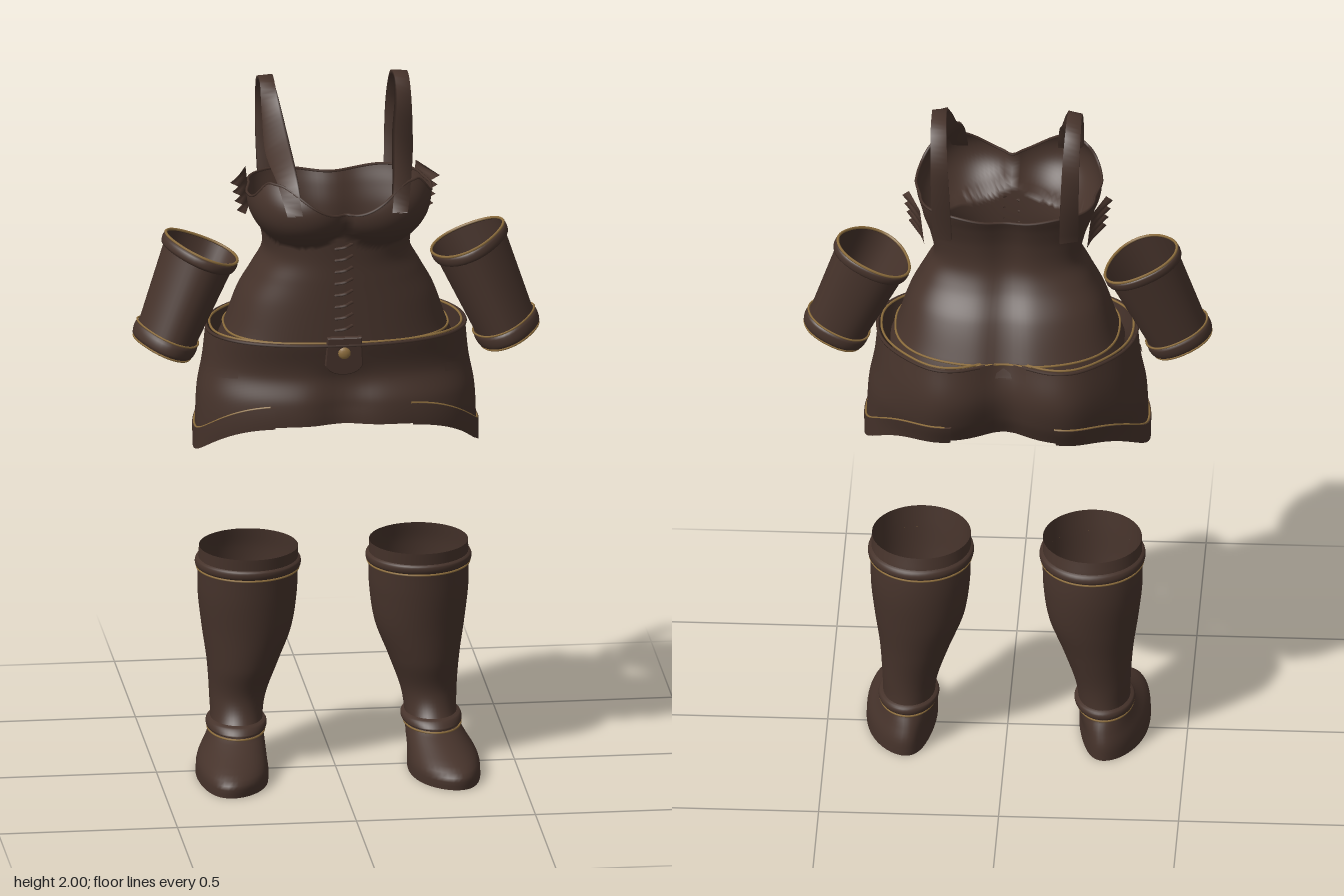
import * as THREE from 'three';

const material = (name, color) => {
  const m = new THREE.MeshStandardMaterial({ color, side: THREE.DoubleSide });
  m.name = name;
  return m;
};
const V = (x, y, z) => new THREE.Vector3(x, y, z);
const smooth = THREE.MathUtils.smoothstep;
const lerp = THREE.MathUtils.lerp;

// Smoothly interpolates rows [y, ...values] sorted by rising y
function sample(rows, y) {
  const n = rows.length - 1;
  let i = 0;
  while (i < n - 1 && y > rows[i + 1][0]) i++;
  const h = rows[i + 1][0] - rows[i][0];
  const t = THREE.MathUtils.clamp((y - rows[i][0]) / h, 0, 1);
  const slope = (k, c) => {
    const a = rows[Math.max(k - 1, 0)], b = rows[Math.min(k + 1, n)];
    return (b[c] - a[c]) / (b[0] - a[0]);
  };
  return rows[0].slice(1).map((_, k) => {
    const c = k + 1, t2 = t * t, t3 = t2 * t;
    return rows[i][c] * (2 * t3 - 3 * t2 + 1) + rows[i + 1][c] * (3 * t2 - 2 * t3)
      + h * (slope(i, c) * (t3 - 2 * t2 + t) + slope(i + 1, c) * (t3 - t2));
  });
}

// Grid surface from f(u, v); closed joins the u ends smoothly
function surface(f, nu, nv, closed = true) {
  const pos = [], index = [], cols = closed ? nu : nu + 1;
  for (let j = 0; j <= nv; j++)
    for (let i = 0; i < cols; i++) pos.push(...f(i / nu, j / nv).toArray());
  for (let j = 0; j < nv; j++)
    for (let i = 0; i < nu; i++) {
      const k = (i + 1) % cols, a = j * cols, b = a + cols;
      index.push(a + i, a + k, b + k, a + i, b + k, b + i);
    }
  const g = new THREE.BufferGeometry();
  g.setAttribute('position', new THREE.Float32BufferAttribute(pos, 3));
  g.setIndex(index);
  g.computeVertexNormals();
  return g;
}
const mirror = f => (u, v) => f(1 - u, v).multiply(V(-1, 1, 1));
const pow = (c, e) => Math.sign(c) * Math.abs(c) ** e;

// Corset: half width, front z, back z
const CORSET = [[1.26, .325, .2, -.25], [1.3, .308, .2, -.235], [1.4, .273, .2, -.185], [1.47, .235, .2, -.135],
  [1.53, .205, .2, -.11], [1.6, .215, .205, -.11], [1.66, .235, .212, -.125], [1.72, .243, .21, -.148], [1.78, .243, .195, -.15]];
function corset(u, y, off = 0) {
  const th = u * Math.PI * 2, [a, zf, zb] = sample(CORSET, y);
  const s = pow(Math.sin(th), .8), c = pow(Math.cos(th), .8);
  let x = (a + off) * s, z = c * ((c > 0 ? zf : -zb) + off);
  if (c > 0) { // cups
    const d = ((Math.abs(x) - .13) / .155) ** 2 + ((y - 1.695) / .115) ** 2;
    const bump = Math.max(0, 1 - d) ** .6;
    z += .09 * bump;
    x += Math.sign(x) * .025 * bump * Math.abs(s);
  } else z += .015 * Math.exp(-((x / .05) ** 2)); // spine hollow
  return V(x, y, z);
}
const neckline = u => {
  const s = Math.abs(Math.sin(u * Math.PI * 2));
  return Math.cos(u * Math.PI * 2) > 0 ? 1.69 + .08 * smooth(s, 0, .65) - .058 * smooth(s, .75, 1) : 1.695 + .017 * smooth(s, 0, .6);
};

// Shorts: half width, front z, back z
const SHORTS = [[.95, .39, .19, -.2], [1.04, .39, .215, -.225], [1.12, .385, .215, -.262], [1.2, .37, .192, -.277], [1.3, .36, .215, -.255]];
function shorts(u, y, off = 0) {
  const th = u * Math.PI * 2, [a, zf, zb] = sample(SHORTS, y);
  const s = pow(Math.sin(th), .85), c = pow(Math.cos(th), .85);
  const x = (a + off) * s;
  let z = c * ((c > 0 ? zf : -zb) + off);
  const cleft = Math.exp(-((x / .07) ** 2));
  if (c > 0) z -= .03 * cleft * smooth(1.25 - y, 0, .15);
  else z += .045 * cleft - .03 * Math.exp(-(((Math.abs(x) - .19) / .09) ** 2)) * Math.min(1, -c * 2);
  return V(x, y, z);
}
const hem = u => 1.06 - .11 * Math.abs(Math.sin(u * Math.PI * 2)) ** 4;

// Boots: inner x, outer x, back z, front z
const BOOT = [[0, .193, .398, -.187, .26], [.035, .193, .396, -.187, .26], [.055, .195, .388, -.183, .23], [.09, .197, .362, -.17, .14],
  [.125, .2, .345, -.155, .065], [.2, .19, .345, -.155, .028], [.3, .155, .352, -.173, .052], [.4, .117, .366, -.193, .068],
  [.5, .102, .377, -.205, .083], [.58, .1, .377, -.203, .092], [.64, .1, .375, -.19, .1]];
function boot(u, y, off = 0) {
  const th = u * Math.PI * 2, [xi, xo, zb, zf] = sample(BOOT, y);
  const s = Math.sin(th), c = Math.cos(th), foot = smooth(.13 - y, 0, .09);
  const rx = (xo - xi) / 2 + off, rz = (zf - zb) / 2 + off;
  // foot narrows at the heel and turns outward at the toe
  return V((xi + xo) / 2 + rx * s * (1 - foot * (.04 - .08 * c)) + foot * .02 * c * (1 - s * s), y, (zf + zb) / 2 + rz * c);
}

// Arm guards: tilted tapering sleeve, v runs bottom to top
function guard(u, v, off = 0) {
  const th = u * Math.PI * 2, lobe = 1 + .05 * Math.cos(3 * th + .6);
  const r = (lerp(.083, .104, v) + off) * lobe * Math.sin(th);
  const rz = (lerp(.093, .108, v) + off) * lobe * Math.cos(th);
  return V(lerp(.483, .37, v) + .922 * r, lerp(1.25, 1.52, v) + .386 * r, lerp(.022, -.01, v) + rz);
}

export function createModel() {
  const leather = material('dark brown leather', 0x46332b);
  const brass = material('brass', 0x8f6f3e);
  const model = new THREE.Group();
  const add = (name, geo, mat = leather) => {
    const m = new THREE.Mesh(geo, mat);
    m.name = name;
    model.add(m);
    return m;
  };
  const pair = (name, f, nu, nv, closed) => {
    add('left' + name, surface(f, nu, nv, closed));
    add('right' + name, surface(mirror(f), nu, nv, closed));
  };
  const cord = (pts, r, closed = false, seg = 64) =>
    new THREE.TubeGeometry(new THREE.CatmullRomCurve3(pts, closed), seg, r, 5, closed);
  const ring = (f, n = 48) => Array.from({ length: n }, (_, i) => f(i / n));
  // brass seams that follow a ring of a part, one on each side
  const seams = (name, f, r = .003, closed = true) => {
    add('left' + name, cord(ring(f), r, closed, 72), brass);
    add('right' + name, cord(ring(mirror(f)), r, closed, 72), brass);
  };
  // raised band between two heights of a part
  const band = (f, lo, hi, h) => (u, v) => f(u, lerp(lo, hi, v), h * Math.max(0, Math.sin(Math.PI * v)) ** .35);

  // Corset with piped neckline and stitched lower edge
  add('corset', surface((u, v) => corset(u, lerp(1.26, neckline(u), v)), 128, 48));
  add('necklinePiping', cord(ring(u => corset(u, neckline(u)), 96), .004, true, 192));
  add('corsetStitching', cord(ring(u => corset(u, 1.297, .002)), .0035, true, 128), brass);

  // Frill standing out behind each arm, with a ragged outer edge
  pair('SideFrill', (u, v) => {
    const tooth = Math.abs((v * 4) % 1 - .5) * 2, reach = 1 - u;
    const flare = reach * (.046 + .012 * v - .022 * tooth);
    return V(.226 + flare + .012 * v, lerp(1.615, 1.722, v), lerp(-.115, -.01, reach));
  }, 6, 16, false);

  // Shoulder straps with thickness between two edge curves
  const inner = new THREE.CatmullRomCurve3([V(.125, 1.7, .29), V(.135, 1.79, .235), V(.15, 1.88, .11), V(.163, 1.95, .05),
    V(.168, 1.994, -.03), V(.165, 1.98, -.11), V(.16, 1.9, -.155), V(.155, 1.8, -.158), V(.15, 1.64, -.132)]);
  const outer = new THREE.CatmullRomCurve3([V(.168, 1.7, .285), V(.182, 1.765, .215), V(.202, 1.825, .08), V(.206, 1.92, .03),
    V(.208, 1.992, -.03), V(.208, 1.976, -.11), V(.206, 1.9, -.158), V(.205, 1.8, -.156), V(.2, 1.64, -.115)]);
  pair('ShoulderStrap', (u, v) => {
    const a = inner.getPoint(1 - v), b = outer.getPoint(1 - v), corner = Math.round(u * 4) % 4;
    const n = b.clone().sub(a).cross(inner.getTangent(1 - v)).normalize();
    return (corner === 0 || corner === 3 ? a : b).addScaledVector(n, corner < 2 ? .006 : -.006);
  }, 4, 48, true);

  // Front lacing
  for (let i = 0; i < 8; i++) {
    const y = 1.335 + i * .034;
    add('lace', cord([V(-.024, y, .201), V(0, y + .007, .213), V(.024, y + .014, .201)], .0045, false, 8));
  }

  // Shorts shell with dipping hem, inner leg walls and turned-up cuffs
  add('shorts', surface((u, v) => shorts(u, lerp(hem(u), 1.3, v)), 128, 28));
  add('shortsWaistEdge', cord(ring(u => shorts(u, 1.295)), .005, true, 128));
  add('shortsWaistStitching', cord(ring(u => shorts(u, 1.299, -.01)), .0035, true, 128), brass);
  const crotch = new THREE.CatmullRomCurve3([V(.012, 0, -.2), V(.006, 0, -.11), V(.026, 0, -.05), V(.03, 0, .01),
    V(.02, 0, .06), V(.006, 0, .1), V(.022, 0, .14), V(.05, 0, .185)]);
  pair('InnerLeg', (u, v) => crotch.getPoint(u).add(V(.008 * (1 - v), lerp(1.06, 1.1, v), 0)), 28, 2, false);
  const cuff = u => lerp(.07, .45, u);
  pair('LegCuff', (u, v) => shorts(cuff(u), hem(cuff(u)) + lerp(-.002, .06, v), .008), 48, 6, false);
  pair('LegCuffEdge', (u, v) => shorts(cuff(u), hem(cuff(u)) + .06, .008 * (1 - v)), 48, 1, false);
  seams('LegCuffStitching', u => shorts(cuff(u), hem(cuff(u)) + .061, .003), .003, false);

  // Pocket flaps and back tab
  pair('FrontPocketFlap', (u, v) => shorts(lerp(.13, .21, u), lerp(1.175, 1.2, v) + .012 * (1 - u), .007), 12, 2, false);
  add('backTab', surface((u, v) => shorts(lerp(.48, .52, u), lerp(1.255, 1.3, v), .012), 8, 3, false));

  // Buckle tab with a rounded end and a stud
  const tab = new THREE.Shape();
  tab.moveTo(.045, .05).lineTo(-.045, .05).lineTo(-.05, -.03).quadraticCurveTo(-.04, -.055, 0, -.057)
    .quadraticCurveTo(.04, -.055, .05, -.03).lineTo(.045, .05);
  const buckle = add('buckleTab', new THREE.ExtrudeGeometry(tab, { depth: .01, bevelSize: .003, bevelThickness: .003, bevelSegments: 1 }));
  buckle.position.set(0, 1.267, .2);
  buckle.rotation.x = .12;
  const stud = add('buckleStud', new THREE.SphereGeometry(.018, 14, 8), brass);
  stud.position.set(0, 1.273, .213);
  stud.scale.z = .5;

  // Arm guards with raised rims and brass seams
  pair('ArmGuard', guard, 40, 8, true);
  pair('ArmGuardLowerRim', band(guard, -.01, .14, .009), 40, 8, true);
  pair('ArmGuardUpperRim', band(guard, .9, 1.01, .009), 40, 8, true);
  seams('ArmGuardCuffSeam', u => guard(u, -.012, .002));
  seams('ArmGuardLowerSeam', u => guard(u, .142, .005));
  seams('ArmGuardUpperSeam', u => guard(u, 1.012, .003), .004);

  // Boots with soles, calf bands and ankle collars
  pair('Boot', (u, v) => boot(u, v * .64), 48, 56, true);
  pair('BootSole', (u, v) => V(.29, 0, .03).lerp(boot(u, 0), v), 48, 3, true);
  pair('BootCalfBand', band(boot, .578, .606, .009), 48, 8, true);
  pair('BootAnkleCollar', band(boot, .115, .142, .012), 48, 8, true);
  seams('BootCalfSeam', u => boot(u, .576, .003));
  seams('BootAnkleSeam', u => boot(u, .113, .004));

  return model;
}
